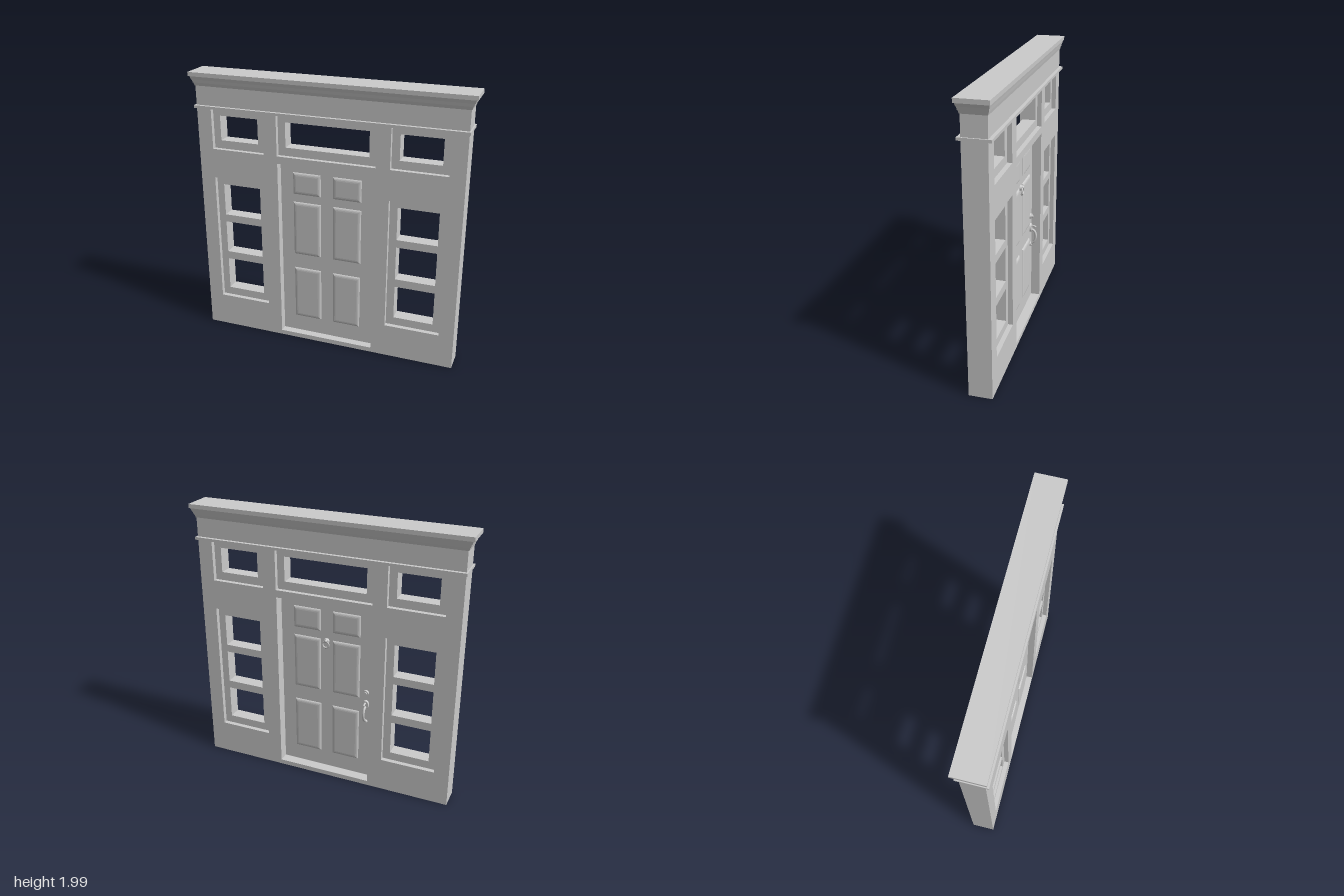
import * as THREE from 'three';

const mat = new THREE.MeshStandardMaterial({ color: 0xcccccc });
const WALL = 0.081;                       // half depth of the wall
const DOOR_FRONT = 0.035, DOOR_BACK = -0.015;

function rect(Type, x0, y0, x1, y1) {
  const p = new Type();
  p.moveTo(x0, y0); p.lineTo(x1, y0); p.lineTo(x1, y1); p.lineTo(x0, y1); p.closePath();
  return p;
}

function add(parent, name, geometry, x = 0, y = 0, z = 0) {
  const m = new THREE.Mesh(geometry, mat);
  m.name = name;
  m.position.set(x, y, z);
  parent.add(m);
  return m;
}

// Flat plate with rectangular holes, from z0 to z1
function plate(parent, name, outer, holes, z0, z1) {
  const s = rect(THREE.Shape, ...outer);
  s.holes = holes.map(h => rect(THREE.Path, ...h));
  return add(parent, name, new THREE.ExtrudeGeometry(s, { depth: z1 - z0, bevelEnabled: false }), 0, 0, z0);
}

// Horizontal moulding band with its own half sizes at bottom and top
function band(parent, name, y0, y1, bottom, top) {
  const g = new THREE.BoxGeometry(2, y1 - y0, 2).toNonIndexed();
  const p = g.attributes.position;
  for (let i = 0; i < p.count; i++) {
    const [hx, hz] = p.getY(i) > 0 ? top : bottom;
    p.setX(i, p.getX(i) * hx);
    p.setZ(i, p.getZ(i) * hz);
  }
  g.computeVertexNormals();
  return add(parent, name, g, 0, (y0 + y1) / 2, 0);
}

// Disc or knob whose axis points out of the back of the door
function disc(parent, name, r, depth, x, y, z) {
  const m = add(parent, name, new THREE.CylinderGeometry(r * 0.85, r, depth, 24), x, y, z - depth / 2);
  m.rotation.x = -Math.PI / 2;
  return m;
}

function tube(parent, name, points, r) {
  const curve = new THREE.CatmullRomCurve3(points.map(p => new THREE.Vector3(...p)));
  return add(parent, name, new THREE.TubeGeometry(curve, 24, r, 10));
}

export function createModel() {
  const model = new THREE.Group();
  model.name = 'doorway';

  // Window recesses with the openings inside each
  const windows = [{ name: 'transom', outer: [-0.357, 1.44, 0.357, 1.735], holes: [[-0.303, 1.5, 0.303, 1.68]] }];
  for (const side of [-1, 1]) {
    const word = side > 0 ? 'left' : 'right';
    const span = (a, b) => side > 0 ? [a, b] : [-b, -a];
    const [o0, o1] = span(0.457, 0.852), [h0, h1] = span(0.512, 0.8);
    windows.push({ name: word + 'UpperWindow', outer: [o0, 1.44, o1, 1.735], holes: [[h0, 1.5, h1, 1.68]] });
    windows.push({
      name: word + 'Sidelight', outer: [o0, 0.25, o1, 1.222],
      holes: [[0.31, 0.56], [0.62, 0.868], [0.925, 1.165]].map(([a, b]) => [h0, a, h1, b])
    });
  }

  // Wall with door opening and window recesses
  const doorway = [-0.355, 0.035, 0.355, 1.386];
  plate(model, 'wall', [-0.96, 0, 0.96, 1.89], [doorway, ...windows.map(w => w.outer)], -WALL, WALL);
  for (const w of windows) plate(model, w.name + 'Frame', w.outer, w.holes, -0.048, 0.048);

  // Shelf moulding and stepped crown
  band(model, 'shelfMoulding', 1.735, 1.754, [0.97, 0.105], [0.97, 0.105]);
  const crown = new THREE.Group();
  crown.name = 'crown';
  model.add(crown);
  const steps = [
    [1.89, 1.912, 0.964, 0.084, 0.97, 0.089],
    [1.912, 1.934, 0.973, 0.091, 0.979, 0.095],
    [1.934, 1.957, 0.982, 0.097, 0.99, 0.102],
    [1.957, 1.986, 1, 0.108, 1, 0.108]
  ];
  for (const [y0, y1, bx, bz, tx, tz] of steps) band(crown, 'crownStep', y0, y1, [bx, bz], [tx, tz]);

  // Door slab with raised panels on both faces
  const door = new THREE.Group();
  door.name = 'door';
  model.add(door);
  plate(door, 'doorSlab', [-0.349, 0.042, 0.349, 1.379], [], DOOR_BACK, DOOR_FRONT);
  const bevel = 0.024;
  for (const [x0, x1] of [[-0.255, -0.048], [0.044, 0.251]]) {
    for (const [y0, y1] of [[0.168, 0.577], [0.69, 1.1], [1.16, 1.322]]) {
      const s = rect(THREE.Shape, x0 + bevel, y0 + bevel, x1 - bevel, y1 - bevel);
      add(door, 'raisedPanel', new THREE.ExtrudeGeometry(s, {
        depth: DOOR_FRONT - DOOR_BACK, bevelSize: bevel, bevelThickness: 0.012, bevelSegments: 4
      }), 0, 0, DOOR_BACK);
    }
  }

  // Knocker on the back face
  const knocker = new THREE.Group();
  knocker.name = 'knocker';
  door.add(knocker);
  disc(knocker, 'knockerPlate', 0.022, 0.014, 0, 1.09, DOOR_BACK);
  add(knocker, 'knockerBoss', new THREE.SphereGeometry(0.013, 16, 12), 0, 1.095, DOOR_BACK - 0.016);
  add(knocker, 'knockerRing', new THREE.TorusGeometry(0.024, 0.005, 10, 28), 0, 1.068, DOOR_BACK - 0.018);
  add(knocker, 'knockerStriker', new THREE.SphereGeometry(0.009, 14, 10), 0, 1.04, DOOR_BACK - 0.012);

  // Deadbolt and grip handle on the back face
  const hx = -0.305;
  const lock = new THREE.Group();
  lock.name = 'lockSet';
  door.add(lock);
  disc(lock, 'deadboltRose', 0.022, 0.012, hx, 0.74, DOOR_BACK);
  disc(lock, 'deadboltCylinder', 0.013, 0.022, hx, 0.74, DOOR_BACK);
  const rose = disc(lock, 'handleRose', 0.026, 0.012, hx, 0.645, DOOR_BACK);
  rose.scale.z = 1.4;
  disc(lock, 'lowerRose', 0.016, 0.012, hx, 0.505, DOOR_BACK);
  tube(lock, 'thumbLatch', [[hx, 0.655, -0.015], [hx, 0.66, -0.04], [hx, 0.652, -0.06]], 0.007);
  tube(lock, 'gripHandle', [[hx, 0.63, -0.015], [hx, 0.62, -0.045], [hx, 0.575, -0.06],
    [hx, 0.53, -0.045], [hx, 0.505, -0.015]], 0.009);

  return model;
}
